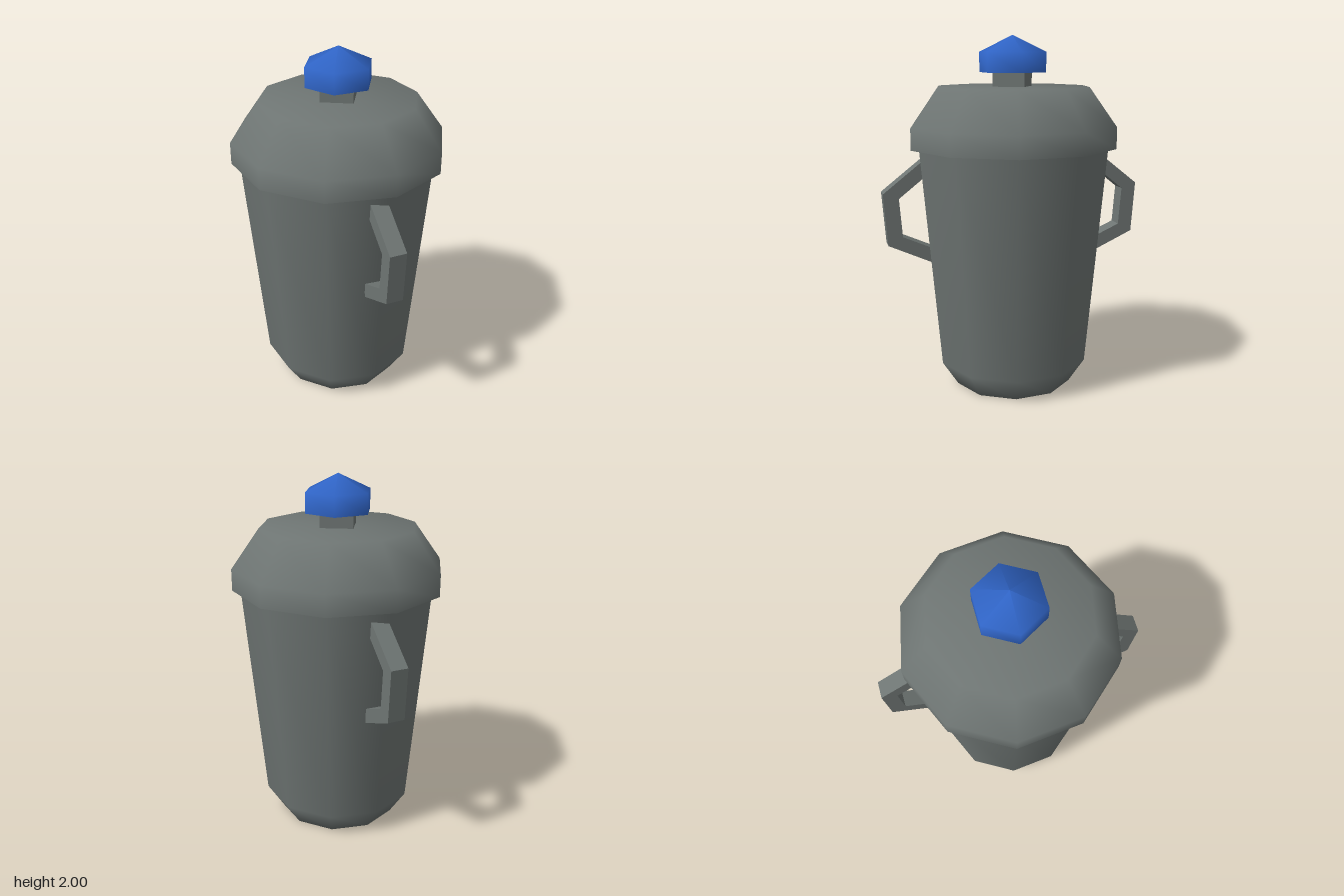
import * as THREE from 'three';

const grey = new THREE.MeshStandardMaterial({ color: 0x6e7573 });
grey.name = 'grey metal';
const blue = new THREE.MeshStandardMaterial({ color: 0x2f63c4 });
blue.name = 'blue knob';

// Faceted solid of revolution with smooth normals; profile runs bottom to top
function turned(name, profile, sides, material) {
  const points = profile.map(([r, y]) => new THREE.Vector2(r, y));
  const mesh = new THREE.Mesh(new THREE.LatheGeometry(points, sides), material);
  mesh.name = name;
  return mesh;
}

export function createModel() {
  const model = new THREE.Group();
  model.name = 'lidded can';

  // Tapered body with a chamfered foot
  model.add(turned('body', [[0, 0], [0.342, 0], [0.433, 0.14], [0.545, 1.39]], 10, grey));

  // Overhanging lid and its flat underside
  model.add(turned('lid', [[0.59, 1.385], [0.59, 1.505], [0.435, 1.72], [0, 1.72]], 10, grey));
  model.add(turned('lidUnderside', [[0.5, 1.385], [0.59, 1.385]], 10, grey));

  // Square stem under the knob
  const stem = new THREE.Mesh(new THREE.BoxGeometry(0.18, 0.12, 0.18), grey);
  stem.name = 'stem';
  stem.position.y = 1.76;
  model.add(stem);

  // Hexagonal knob with a pointed top
  model.add(turned('knob', [[0.192, 1.797], [0.192, 1.908], [0, 2]], 6, blue));
  model.add(turned('knobUnderside', [[0, 1.797], [0.192, 1.797]], 6, blue));

  // Angular bracket handles on opposite sides; outline is (radius, height)
  const outline = [
    [0.47, 0.745], [0.722, 0.86], [0.743, 1.15], [0.515, 1.33],
    [0.5, 1.245], [0.657, 1.12], [0.64, 0.905], [0.46, 0.825],
  ].map(([r, y]) => new THREE.Vector2(r, y));
  const width = 0.095;
  const handleGeometry = new THREE.ExtrudeGeometry(new THREE.Shape(outline), { depth: width, bevelEnabled: false });
  handleGeometry.translate(0, 0, -width / 2);
  ['frontHandle', 'backHandle'].forEach((name, i) => {
    const handle = new THREE.Mesh(handleGeometry, grey);
    handle.name = name;
    handle.rotation.y = -Math.PI / 3 + i * Math.PI;
    model.add(handle);
  });

  return model;
}
